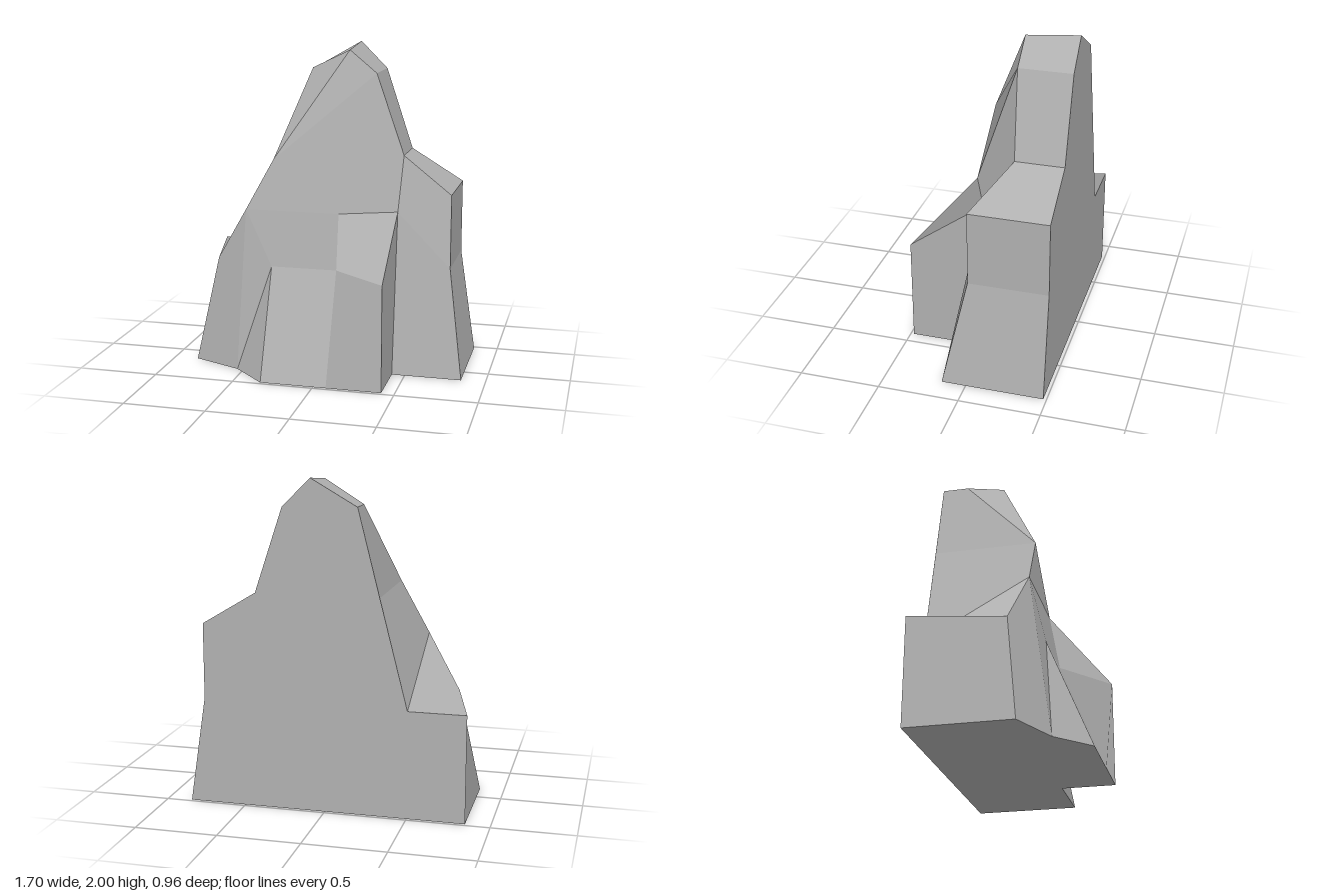
import * as THREE from 'three';

const BACK = -0.48;
const INSIDE = new THREE.Vector3(0, 0.6, -0.2); // point within the rock, used to turn faces outward

// Builds flat polygons (fanned from their first corner) with one normal each.
function facets(polygons) {
  const position = [], normal = [];
  for (const poly of polygons) {
    let p = poly.map(c => new THREE.Vector3(...c));
    const n = new THREE.Vector3(), mid = new THREE.Vector3();
    p.forEach((a, i) => {
      n.add(a.clone().cross(p[(i + 1) % p.length]));
      mid.addScaledVector(a, 1 / p.length);
    });
    n.normalize();
    if (n.dot(mid.sub(INSIDE)) < 0) {
      n.negate();
      p = [p[0], ...p.slice(1).reverse()];
    }
    for (let i = 1; i < p.length - 1; i++) {
      for (const v of [p[0], p[i], p[i + 1]]) {
        position.push(v.x, v.y, v.z);
        normal.push(n.x, n.y, n.z);
      }
    }
  }
  const g = new THREE.BufferGeometry();
  g.setAttribute('position', new THREE.Float32BufferAttribute(position, 3));
  g.setAttribute('normal', new THREE.Float32BufferAttribute(normal, 3));
  return g;
}

const back = ([x, y]) => [x, y, BACK];

export function createModel() {
  const stone = new THREE.MeshStandardMaterial({ color: 0xb0b0b0 });
  stone.name = 'greyStone';
  const group = new THREE.Group();
  group.name = 'cliffRock';
  const add = (name, polygons) => {
    const mesh = new THREE.Mesh(facets(polygons), stone);
    mesh.name = name;
    group.add(mesh);
  };

  // Peak corners
  const apex = [0.08, 1.97, -0.15], apexBack = [0.08, 2, BACK];
  const peakL = [-0.2, 1.84, -0.32], peakR = [0.25, 1.83, -0.15];
  const waistL = [-0.33, 1.32, 0.15], waistR = [0.42, 1.32, -0.18];
  const brow = [0.08, 1, 0.15];
  // Shoulder corners
  const shoulder = [0.75, 1.12, 0.01], elbow = [0.75, 0.66, 0.01];
  const footR = [0.85, 0, 0.15], notch = [0.42, 0, 0.15], crook = [0.42, 1, 0.01];
  // Ledge corners
  const hip = [-0.51, 1, 0.15], ledge = [-0.72, 0.66, 0.07];
  const ledgeBack = [-0.85, 0.66, BACK], ledgeInner = [-0.5, 0.66, BACK];
  const footL = [-0.85, 0, 0.15], footMid = [-0.54, 0, 0.28];
  // Buttress corners
  const toeL = [-0.33, 0, 0.48], toeM = [0.08, 0, 0.48], toeR = [0.42, 0, 0.48];
  const topL = [-0.33, 0.66, 0.21], topM = [0.08, 0.66, 0.21], topR = [0.42, 0.66, 0.48];

  add('peak', [
    [back(peakL), apexBack, apex, peakL],
    [apexBack, back(peakR), peakR, apex],
    [peakL, apex, waistL],
    [waistL, apex, peakR],
    [brow, peakR, waistL, hip],
    [brow, crook, waistR, peakR],
    [peakR, waistR, back(waistR), back(peakR)],
    [back(waistL), back(peakL), peakL, waistL],
    [ledgeInner, back(waistL), waistL, hip],
  ]);

  add('rightShoulder', [
    [waistR, shoulder, back(shoulder), back(waistR)],
    [crook, elbow, shoulder, waistR],
    [crook, notch, footR, elbow],
    [shoulder, elbow, back(elbow), back(shoulder)],
    [elbow, footR, back(footR), back(elbow)],
  ]);

  add('leftLedge', [
    [ledgeInner, hip, ledge, ledgeBack],
    [ledge, footL, back(footL), ledgeBack],
    [ledge, footL, footMid, hip],
    [hip, footMid, topL],
  ]);

  add('frontButtress', [
    [footMid, toeL, topL],
    [toeL, toeM, topM, topL],
    [toeM, toeR, topR, topM],
    [hip, topL, topM, brow],
    [brow, topM, topR, crook],
    [crook, topR, toeR, notch],
  ]);

  add('backWall', [[
    ledgeInner, back(waistL), back(peakL), apexBack, back(peakR), back(waistR),
    back(shoulder), back(elbow), back(footR), back(footL), ledgeBack,
  ]]);

  add('base', [[notch, toeR, toeM, toeL, footMid, footL, back(footL), back(footR), footR]]);

  return group;
}
